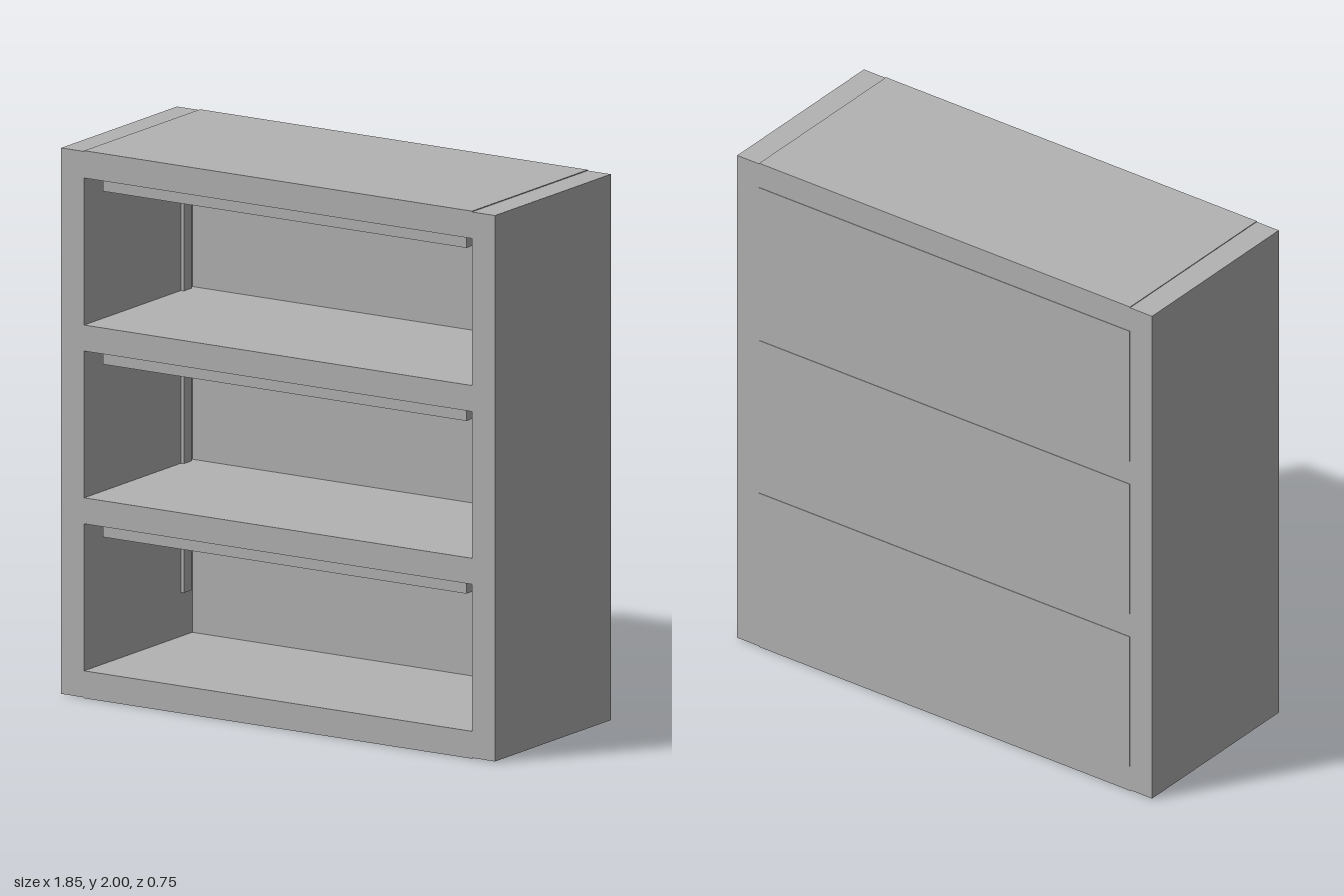
import * as THREE from 'three';

export function createModel() {
  const group = new THREE.Group();
  group.name = 'bookcase';
  const grey = new THREE.MeshStandardMaterial({ color: 0xb3b3b3 });
  grey.name = 'grey';

  // Box given by its minimum and maximum corners
  function box(name, x0, x1, y0, y1, z0, z1) {
    const mesh = new THREE.Mesh(new THREE.BoxGeometry(x1 - x0, y1 - y0, z1 - z0), grey);
    mesh.position.set((x0 + x1) / 2, (y0 + y1) / 2, (z0 + z1) / 2);
    mesh.name = name;
    group.add(mesh);
  }

  const W = 0.923, D = 0.373, H = 2;
  const inner = 0.825, lip = 0.003;
  const bays = [[0.1, 0.637], [0.732, 1.268], [1.363, 1.9]];

  // Side panels, a hair shorter than the top and bottom boards
  box('rightSide', -W, -inner, lip, H - lip, -D, D);
  box('leftSide', inner, W, lip, H - lip, -D, D);

  // Horizontal boards between the sides
  box('bottomBoard', -inner, inner, 0, bays[0][0], -D, D);
  box('lowerShelf', -inner, inner, bays[0][1], bays[1][0], -D, D);
  box('upperShelf', -inner, inner, bays[1][1], bays[2][0], -D, D);
  box('topBoard', -inner, inner, bays[2][1], H, -D, D);

  const strip = [0.26, 1.75];
  for (const [y0, y1] of bays) {
    // Back panel and hanging front rail of each bay
    box('backPanel', -inner, inner, y0, y1, -D - 0.002, -D + 0.05);
    box('frontRail', -0.773, 0.773, y1 - 0.05, y1, 0.28, 0.33);
    // Narrow upright strips on the inner sides near the back
    const s0 = Math.max(y0, strip[0]), s1 = Math.min(y1, strip[1]);
    box('rightStrip', -inner, -inner + 0.012, s0, s1, -0.3, -0.25);
    box('leftStrip', inner - 0.012, inner, s0, s1, -0.3, -0.25);
  }
  return group;
}
